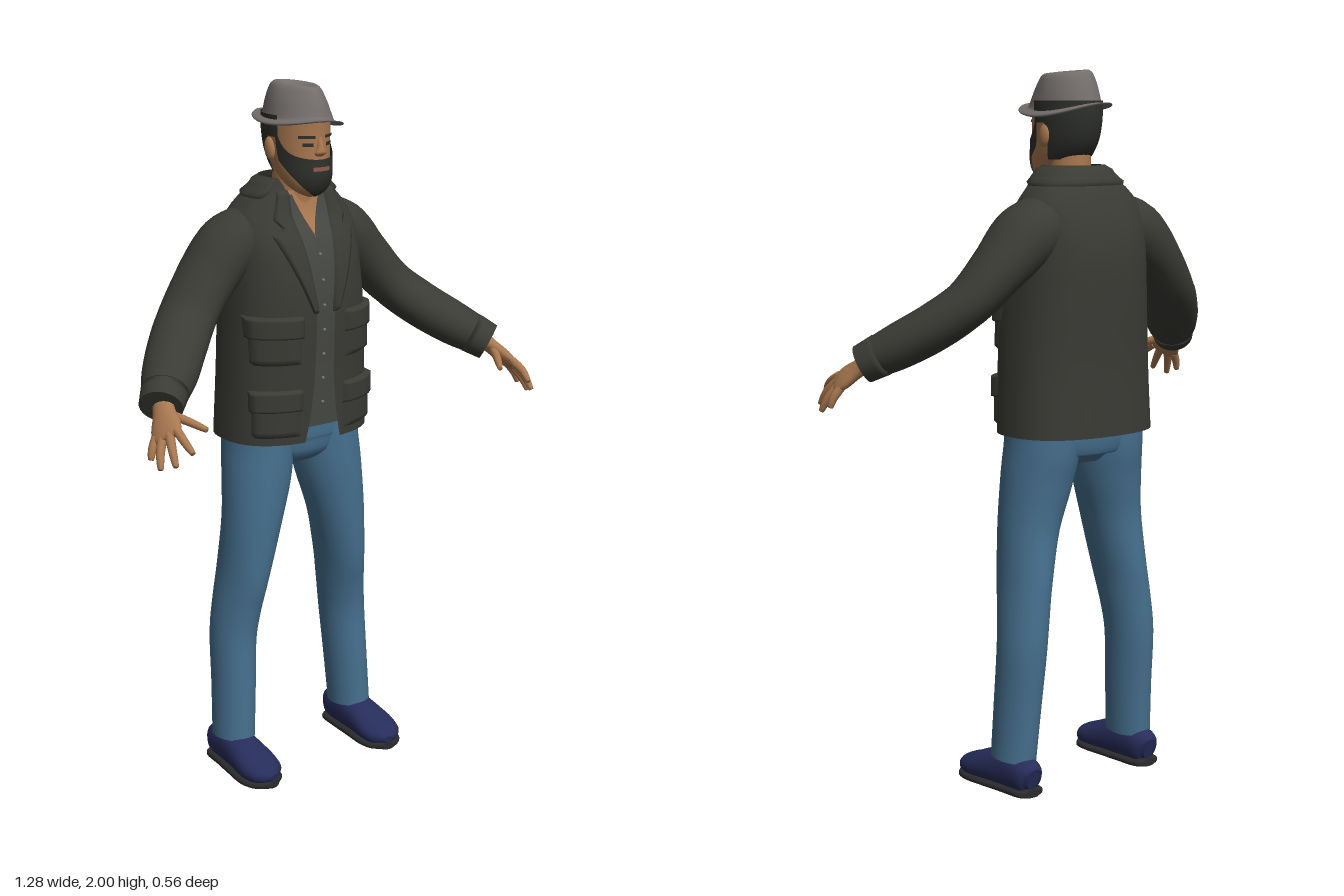
import * as THREE from 'three';

const V = (x, y, z) => new THREE.Vector3(x, y, z);
const pow = (c, p) => Math.sign(c) * Math.abs(c) ** p;
const X = V(1, 0, 0), Y = V(0, 1, 0);

function makeGeometry(pos, idx) {
  const g = new THREE.BufferGeometry();
  g.setAttribute('position', new THREE.Float32BufferAttribute(pos, 3));
  g.setIndex(idx);
  g.computeVertexNormals();
  return g;
}

// Smooth body through sections [x, y, z, radius along side, other radius]
function loft(rows, { side, axis, steps = 4, n = 24, p = 1 } = {}) {
  const path = new THREE.CatmullRomCurve3(rows.map(r => V(r[0], r[1], r[2])), false, 'catmullrom');
  const radii = new THREE.CatmullRomCurve3(rows.map(r => V(r[3], r[4], 0)), false, 'catmullrom');
  const m = (rows.length - 1) * steps, pos = [], idx = [], rings = [];
  for (let i = 0; i <= m; i++) {
    const c = path.getPoint(i / m), r = radii.getPoint(i / m);
    const t = axis || path.getTangent(i / m);
    const v = t.clone().cross(side || Y.clone().cross(t)).normalize();
    const h = v.clone().cross(t).normalize(), ring = [];
    for (let j = 0; j < n; j++) {
      const a = j / n * Math.PI * 2;
      const q = c.clone().addScaledVector(h, r.x * pow(Math.cos(a), p)).addScaledVector(v, r.y * pow(Math.sin(a), p));
      ring.push(q.x, q.y, q.z);
      if (i < m) {
        const k = i * n + j, l = i * n + (j + 1) % n;
        idx.push(k, l, l + n, k, l + n, k + n);
      }
    }
    rings.push({ c, ring });
    pos.push(...ring);
  }
  // end caps
  for (const end of [0, m]) {
    const s = pos.length / 3, { c, ring } = rings[end];
    pos.push(...ring, c.x, c.y, c.z);
    for (let j = 0; j < n; j++) {
      const a = s + j, b = s + (j + 1) % n;
      idx.push(s + n, end ? a : b, end ? b : a);
    }
  }
  return makeGeometry(pos, idx);
}

// Upright body surface from rows [y, half width, centre z, half depth]; angle 0 faces front
function bodySurface(rows, p = 1) {
  const spline = new THREE.CubicInterpolant(rows.map(r => r[0]), new Float32Array(rows.flatMap(r => r.slice(1))), 3);
  return {
    at(a, y, off) {
      const [rx, z, rz] = spline.evaluate(y);
      return [(rx + off) * pow(Math.sin(a), p), y, z + (rz + off) * pow(Math.cos(a), p)];
    },
    angle(x, y) {
      const rx = spline.evaluate(y)[0];
      return Math.sign(x) * Math.asin(Math.min(1, Math.abs(x) / rx) ** (1 / p));
    },
  };
}

// Grid on a body surface; f(u, v) gives [angle, y]; padded grids sink at their rim
function patch(surf, off, f, nu = 12, nv = 12, padded = false) {
  const pos = [], idx = [];
  for (let i = 0; i <= nv; i++) for (let j = 0; j <= nu; j++) {
    const rim = padded && (i === 0 || j === 0 || i === nv || j === nu);
    pos.push(...surf.at(...f(j / nu, i / nv), rim ? -0.002 : off));
    if (i < nv && j < nu) {
      const k = i * (nu + 1) + j, l = k + nu + 1;
      idx.push(k, k + 1, l + 1, k, l + 1, l);
    }
  }
  return makeGeometry(pos, idx);
}
const panel = (s, off, x0, x1, y0, y1, padded) => patch(s, off, (u, v) => {
  const y = y0 + (y1 - y0) * v;
  return [s.angle(x0 + (x1 - x0) * u, y), y];
}, 14, 12, padded);

const table = pts => y => {
  let i = 1;
  while (i < pts.length - 1 && y > pts[i][0]) i++;
  const [a, b] = [pts[i - 1], pts[i]];
  return THREE.MathUtils.mapLinear(THREE.MathUtils.clamp(y, a[0], b[0]), a[0], b[0], a[1], b[1]);
};

function mirrored(g) {
  const m = g.clone().scale(-1, 1, 1), ix = m.index.array;
  for (let i = 0; i < ix.length; i += 3) [ix[i], ix[i + 1]] = [ix[i + 1], ix[i]];
  m.computeVertexNormals();
  return m;
}

export function createModel() {
  const model = new THREE.Group();
  model.name = 'man';
  const mat = (name, color) => Object.assign(new THREE.MeshStandardMaterial({ color, side: THREE.DoubleSide }), { name });
  const jacket = mat('jacket olive', 0x3a3b35), shirt = mat('shirt grey', 0x454743), button = mat('button grey', 0x77777a);
  const denim = mat('denim blue', 0x46708f), skin = mat('skin', 0xa97850), hair = mat('hair', 0x2e302c);
  const lip = mat('lip', 0x8a5748), felt = mat('felt grey', 0x736e6c), shoe = mat('shoe navy', 0x262d5a), sole = mat('sole', 0x2b2b2d);
  const add = (name, g, m) => {
    const mesh = new THREE.Mesh(g, m);
    mesh.name = name;
    model.add(mesh);
  };
  const both = (name, g, m) => {
    add(name + 'Left', g, m);
    add(name + 'Right', mirrored(g), m);
  };

  // Trousers
  both('trouserLeg', loft([
    [.213, .095, -.097, .058, .073], [.205, .25, -.106, .06, .077], [.198, .4, -.116, .063, .081],
    [.187, .5, -.11, .064, .087], [.173, .6, -.098, .066, .096], [.15, .75, -.087, .081, .097],
    [.127, .88, -.093, .097, .107], [.115, .97, -.102, .1, .115], [.11, 1.06, -.105, .1, .115]], { side: X }), denim);
  add('trouserSeat', loft([[0, .925, -.1, .08, .07], [0, .96, -.1, .16, .105], [0, 1, -.105, .195, .117],
    [0, 1.09, -.105, .195, .12]], { side: X, p: .9 }), denim);

  // Shoes
  const foot = [[.215, .05, -.19, .018, .03], [.215, .055, -.172, .042, .046], [.215, .062, -.1, .05, .058],
    [.217, .056, -.03, .057, .05], [.218, .043, .04, .063, .037], [.214, .036, .085, .05, .027], [.21, .033, .11, .014, .01]];
  both('shoe', loft(foot, { side: X, p: .9 }), shoe);
  both('shoeSole', loft(foot.map(([x, , z, r]) => [x, .011, z, r + .003, .011]), { side: X, p: .6 }), sole);

  // Jacket body, open down the front
  const torso = bodySurface([[1.01, .227, -.105, .165], [1.2, .218, -.1, .166], [1.4, .206, -.1, .172], [1.5, .2, -.105, .166],
    [1.58, .197, -.11, .147], [1.64, .182, -.115, .12], [1.69, .14, -.11, .1], [1.72, .105, -.1, .085], [1.75, .085, -.1, .073]], .82);
  const open = table([[1.01, .06], [1.08, .045], [1.2, .032], [1.4, .03], [1.55, .05], [1.65, .065], [1.7, .062], [1.75, .075]]);
  add('jacketBody', patch(torso, 0, (u, v) => {
    const y = 1.01 + .735 * v, a = torso.angle(open(y), y);
    return [a + u * 2 * (Math.PI - a), y];
  }, 72, 36), jacket);
  add('jacketCollar', patch(torso, .012, (u, v) => [1 + u * (2 * Math.PI - 2), 1.69 + .055 * v], 40, 5, true), jacket);
  const lapelEdge = table([[1.38, .04], [1.6, .135], [1.615, .1], [1.64, .118], [1.72, .085]]);
  both('lapel', patch(torso, .009, (u, v) => {
    const y = 1.38 + .335 * v, x = open(y) - .004;
    return [torso.angle(x + (lapelEdge(y) - x) * u, y), y];
  }, 8, 44, true), jacket);

  // Patch pockets with flaps
  for (const [name, y0, y1] of [['chestPocket', 1.24, 1.36], ['hipPocket', 1.03, 1.15]]) {
    both(name, panel(torso, .009, .075, .2, y0, y1, true), jacket);
    both(name + 'Flap', panel(torso, .017, .068, .204, y1 - .045, y1 + .02, true), jacket);
  }

  // Sleeves
  both('sleeve', loft([[.1, 1.585, -.12, .1, .09], [.19, 1.555, -.125, .1, .09], [.27, 1.48, -.118, .092, .076],
    [.35, 1.39, -.09, .085, .067], [.42, 1.325, -.035, .082, .066], [.49, 1.27, .035, .076, .063],
    [.54, 1.235, .085, .062, .055], [.56, 1.22, .105, .056, .05]], { steps: 6 }), jacket);
  both('cuff', loft([[.527, 1.244, .072, .066, .059], [.564, 1.217, .109, .06, .054]]), jacket);

  // Shirt, open at the neck
  const neckline = y => Math.max(0, (y - 1.59) * .45);
  both('shirtFront', patch(torso, -.012, (u, v) => {
    const y = 1.05 + .65 * v, x = neckline(y);
    return [torso.angle(x + (.1 - x) * u, y), y];
  }, 10, 30), shirt);
  add('shirtPlacket', panel(torso, -.008, -.012, .012, 1.06, 1.585), shirt);
  for (let i = 0; i < 7; i++) {
    const y = 1.12 + i * .07;
    add('shirtButton', new THREE.SphereGeometry(.005, 8, 6).translate(...torso.at(0, y, -.007)), button);
  }
  add('chest', panel(torso, -.02, -.07, .07, 1.56, 1.71), skin);

  // Neck and head
  add('neck', loft([[0, 1.62, -.09, .066, .066], [0, 1.7, -.085, .058, .06], [0, 1.8, -.08, .058, .062]], { side: X }), skin);
  const head = bodySurface([[1.695, .012, 0, .01], [1.703, .032, -.002, .025], [1.72, .053, -.014, .05], [1.75, .068, -.032, .079],
    [1.8, .077, -.055, .1], [1.86, .082, -.065, .108], [1.92, .084, -.065, .109]]);
  add('head', patch(head, 0, (u, v) => [u * 2 * Math.PI, 1.695 + .225 * v], 36, 24), skin);
  add('beard', patch(head, .006, (u, v) => {
    const a = (u * 2 - 1) * 1.4, s = (a / 1.4) ** 2;
    const lo = 1.696 + .1 * s, hi = 1.803 + .025 * s + .065 * s ** 4;
    return [a, lo + (hi - lo) * v];
  }, 32, 14), hair);
  add('hair', patch(head, .007, (u, v) => {
    const a = 1.3 + u * (2 * Math.PI - 2.6), d = Math.PI - Math.abs(a - Math.PI);
    const lo = 1.86 - .1 * THREE.MathUtils.smoothstep(d, 1.7, 2);
    return [a, lo + (1.92 - lo) * v];
  }, 48, 12), hair);

  // Face
  add('mouth', panel(head, .009, -.024, .024, 1.772, 1.783), lip);
  both('eye', panel(head, .002, .02, .046, 1.838, 1.848), hair);
  both('eyebrow', panel(head, .003, .015, .054, 1.86, 1.868), hair);
  add('nose', loft([[0, 1.81, .038, .012, .006], [0, 1.82, .044, .018, .014], [0, 1.835, .043, .011, .014],
    [0, 1.862, .037, .007, .009]], { side: X, axis: Y, n: 12 }), skin);
  both('ear', new THREE.SphereGeometry(1, 12, 10).scale(.012, .032, .02).rotateX(-.2).translate(.084, 1.825, -.075), skin);

  // Hat: brim, crown and creased top
  const hat = loft([[1.905, .08, .105], [1.89, .104, .15], [1.896, .107, .153], [1.904, .09, .122], [1.916, .085, .115],
    [1.95, .079, .106], [1.982, .069, .092], [1.995, .06, .08], [1.997, .048, .066], [1.982, .024, .042],
    [1.974, .002, .006]].map(([y, rx, rz]) => [0, y, -.062, rx, rz]), { side: X, axis: Y, steps: 2, n: 40 });
  const hp = hat.attributes.position;
  for (let i = 0; i < hp.count; i++) {
    const x = hp.getX(i), y = hp.getY(i), z = hp.getZ(i), d = z + .062;
    const pinch = 1 - 42 * Math.max(0, d) * Math.max(0, y - 1.915);
    const curl = Math.max(0, 1 - Math.max(0, y - 1.89) / .05) * (d * d * 1.1 - .006);
    hp.setXYZ(i, x * pinch, y - .09 * x + curl - Math.max(0, y - 1.95) * d * .8, z);
  }
  hat.computeVertexNormals();
  add('hat', hat, felt);

  // Hands
  const spread = V(-.47, .365, .8);
  both('palm', loft([[.548, 1.228, .092, .03, .026], [.565, 1.205, .125, .033, .021], [.583, 1.178, .162, .045, .02],
    [.595, 1.16, .185, .043, .014], [.598, 1.154, .192, .03, .008]], { side: spread, n: 16 }), skin);
  const fingers = {
    indexFinger: [[.576, 1.178, .205], [.579, 1.158, .245], [.575, 1.135, .276]],
    middleFinger: [[.59, 1.168, .19], [.604, 1.135, .225], [.61, 1.1, .25]],
    ringFinger: [[.6, 1.158, .172], [.622, 1.12, .195], [.632, 1.086, .211]],
    littleFinger: [[.608, 1.152, .153], [.625, 1.125, .161], [.633, 1.1, .166]],
    thumb: [[.557, 1.203, .14], [.53, 1.19, .19], [.505, 1.175, .232]],
  };
  for (const [name, [a, b, c]] of Object.entries(fingers)) {
    const tip = c.map((k, i) => k + (c[i] - b[i]) * .08);
    both(name, loft([[...a, .013, .013], [...b, .0115, .0115], [...c, .008, .008], [...tip, .003, .003]], { side: spread, n: 10 }), skin);
  }
  return model;
}
